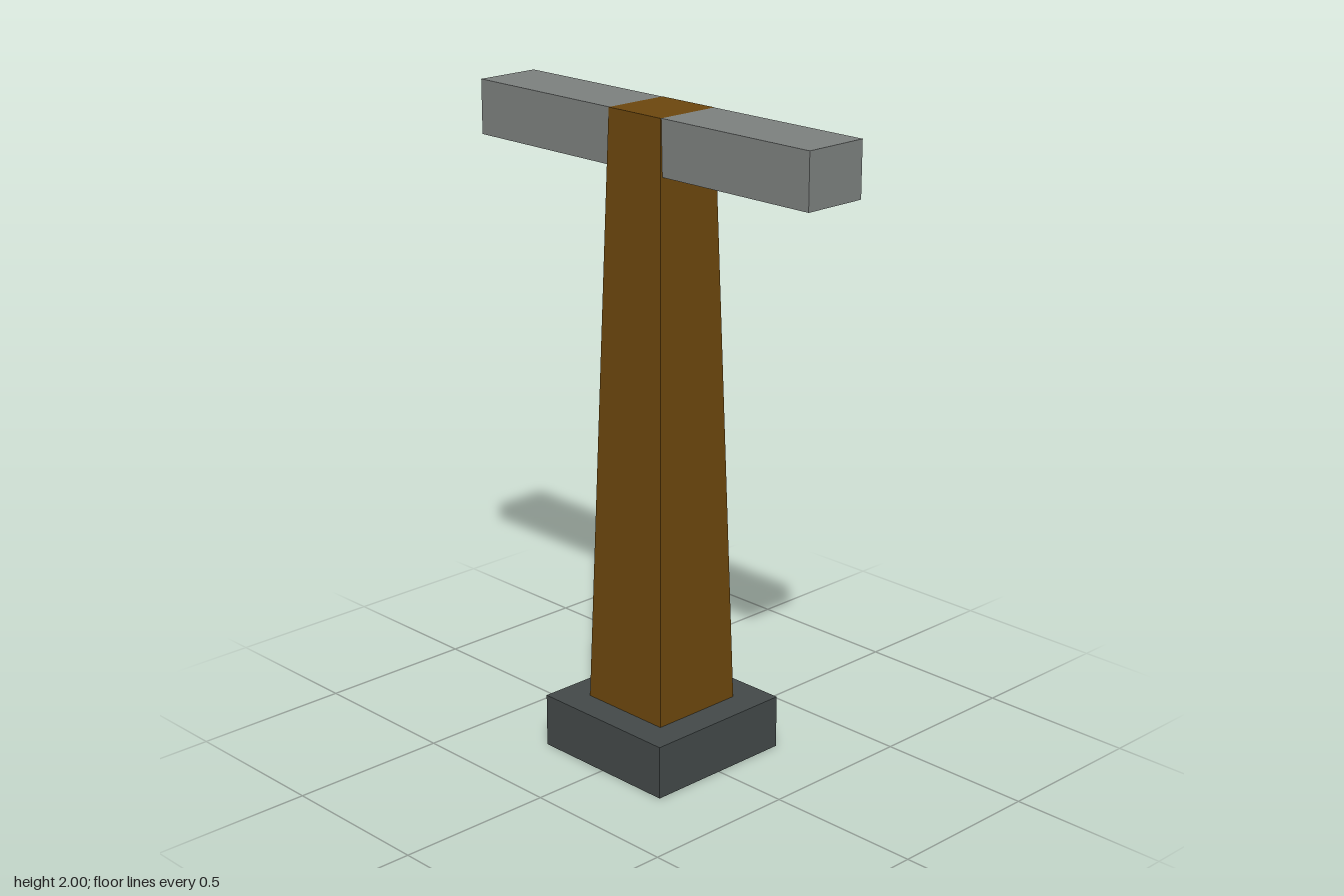
import * as THREE from 'three';

const material = (name, color) => {
  const m = new THREE.MeshStandardMaterial({ color, side: THREE.DoubleSide });
  m.name = name;
  return m;
};

// Box without the listed sides (0 +x, 1 -x, 2 +y, 3 -y, 4 +z, 5 -z), standing on y = 0
function openBox(w, h, d, missing) {
  const g = new THREE.BoxGeometry(w, h, d).translate(0, h / 2, 0);
  const index = Array.from(g.index.array);
  g.setIndex(index.filter((_, i) => !missing.includes(Math.floor(i / 6))));
  g.clearGroups();
  return g;
}

export function createModel() {
  const model = new THREE.Group();
  model.name = 'tPost';
  const wood = material('brown wood', 0x6b460d);
  const lightGray = material('light gray', 0x7b7f7d);
  const darkGray = material('dark gray', 0x424848);

  const add = (name, geometry, mat, x = 0, y = 0) => {
    const mesh = new THREE.Mesh(geometry, mat);
    mesh.name = name;
    mesh.position.set(x, y, 0);
    model.add(mesh);
  };

  // Square foot, open underneath
  add('base', openBox(0.5, 0.167, 0.5, [3]), darkGray);

  // Tapered post running from the ground to the top, open underneath
  const bottom = 0.16, top = 0.106, height = 2;
  const post = openBox(2, height, 2, [3]);
  const p = post.attributes.position;
  for (let i = 0; i < p.count; i++) {
    const half = THREE.MathUtils.lerp(bottom, top, p.getY(i) / height);
    p.setX(i, p.getX(i) * half);
    p.setZ(i, p.getZ(i) * half);
  }
  post.computeVertexNormals();
  add('post', post, wood);

  // Crossbar arms either side of the post, open underneath and where they meet it
  const reach = 0.666, length = reach - top;
  for (const side of [1, -1]) {
    const arm = openBox(length, 0.167, 0.208, [3, side > 0 ? 1 : 0]);
    add(side > 0 ? 'leftArm' : 'rightArm', arm, lightGray, side * (top + length / 2), 1.833);
  }
  return model;
}
